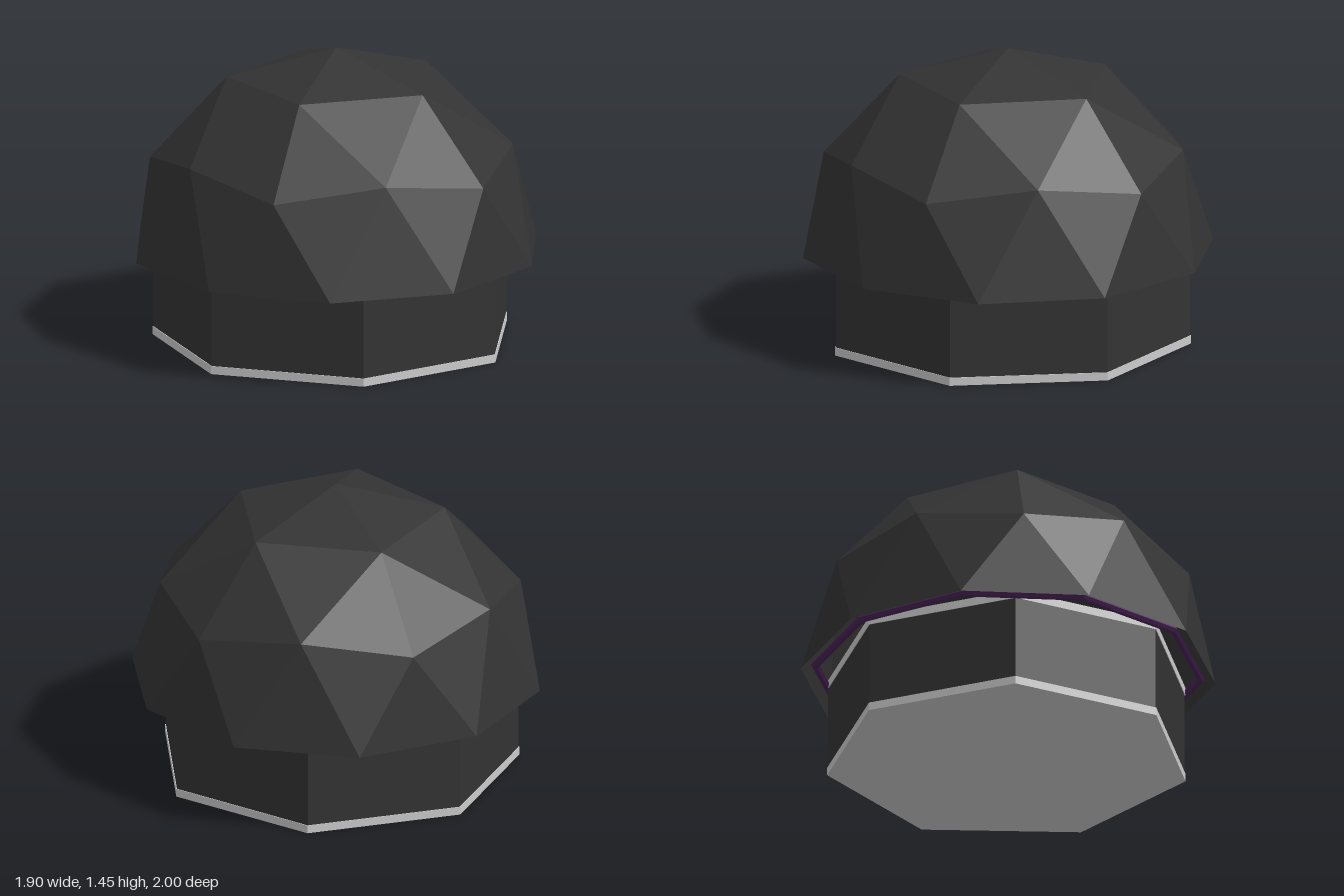
import * as THREE from 'three';

const material = (color, side = THREE.FrontSide) =>
  new THREE.MeshStandardMaterial({ color, side, flatShading: true });

// Upper half of a faceted geodesic sphere, one corner pointing up
function domeGeometry(radius) {
  const sphere = new THREE.IcosahedronGeometry(radius, 1);
  sphere.rotateZ(-Math.atan(2 / (1 + Math.sqrt(5))));
  const p = sphere.attributes.position;
  const kept = [];
  for (let i = 0; i < p.count; i += 3) {
    if (p.getY(i) + p.getY(i + 1) + p.getY(i + 2) < 0.01) continue;
    for (let j = i; j < i + 3; j++) kept.push(p.getX(j), p.getY(j), p.getZ(j));
  }
  const geometry = new THREE.BufferGeometry();
  geometry.setAttribute('position', new THREE.Float32BufferAttribute(kept, 3));
  geometry.computeVertexNormals();
  return geometry;
}

export function createModel() {
  const model = new THREE.Group();
  const dark = material(0x333333);
  const grey = material(0xcccccc);

  const add = (name, geometry, mat, y) => {
    const mesh = new THREE.Mesh(geometry, mat);
    mesh.name = name;
    mesh.position.y = y;
    model.add(mesh);
    return mesh;
  };

  // Seven-sided base with one corner at the back
  const prism = (name, radius, bottom, top, mat) =>
    add(name, new THREE.CylinderGeometry(radius, radius, top - bottom, 7).rotateY(Math.PI),
      mat, (bottom + top) / 2);
  prism('bottomBand', 0.884, 0, 0.04, grey);
  prism('baseWall', 0.88, 0.04, 0.455, dark);
  prism('upperBand', 0.884, 0.455, 0.495, grey);

  // Open ten-sided dome
  add('dome', domeGeometry(1), material(0x333333, THREE.DoubleSide), 0.45);

  // Thin ring tucked inside the rim, its corners following the dome
  const ring = new THREE.TorusGeometry(0.93, 0.02, 6, 10);
  ring.rotateX(Math.PI / 2).rotateY(Math.PI / 10);
  add('innerRing', ring, material(0x4b2458), 0.472);

  return model;
}
